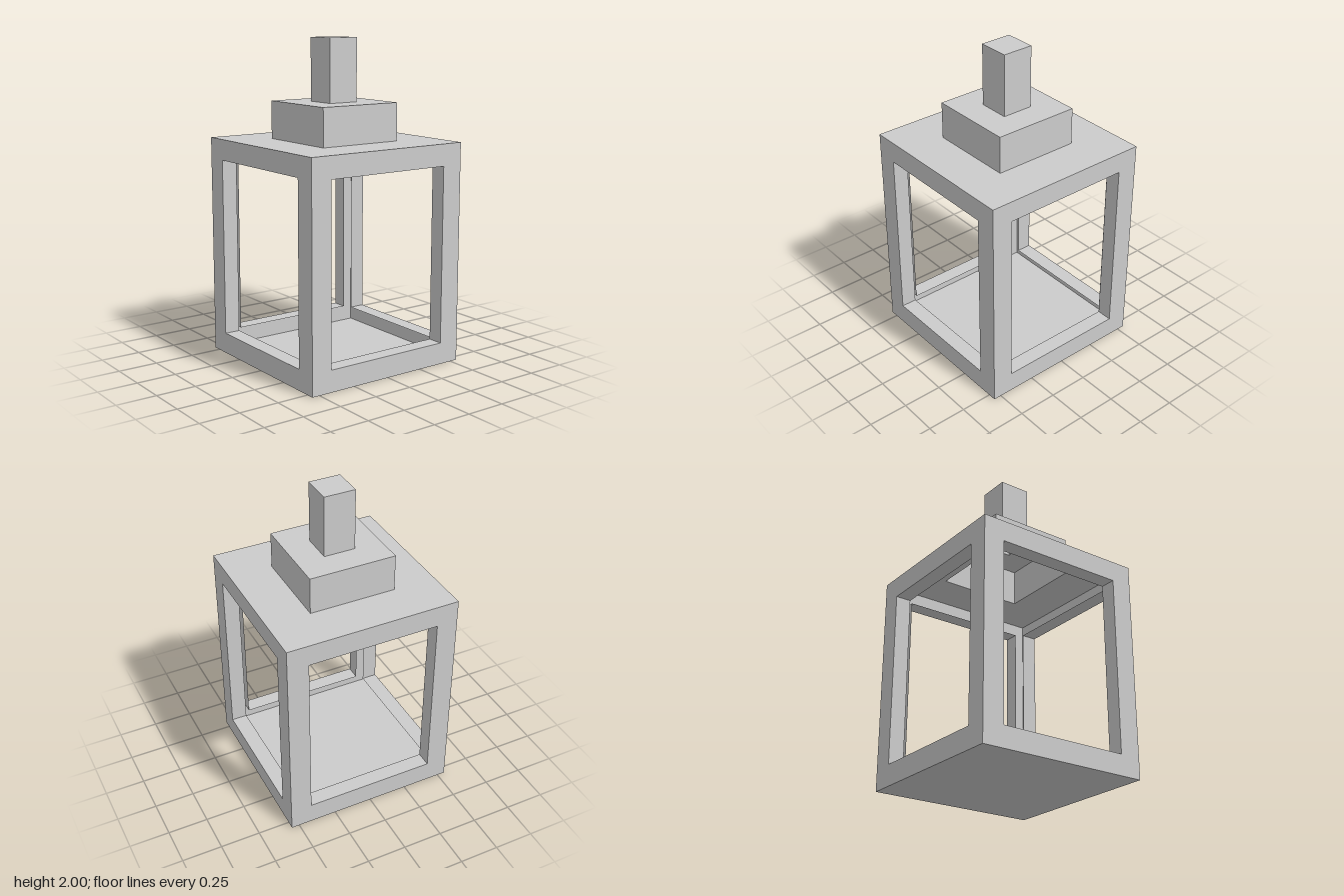
import * as THREE from 'three';

const material = new THREE.MeshStandardMaterial({ color: 0xcccccc, flatShading: true, side: THREE.DoubleSide });

const HALF = 0.55, BODY_TOP = 1.375, REVEAL = 0.1;

function part(geometry, name) {
  const mesh = new THREE.Mesh(geometry, material);
  mesh.name = name;
  return mesh;
}

function rectangle(Type, w, y0, y1) {
  return new Type([[-w, y0], [w, y0], [w, y1], [-w, y1]].map(([x, y]) => new THREE.Vector2(x, y)));
}

// Four-sided open tube centred on the origin, its axis along y
function squareTube(width, height, depth, inward = false) {
  const tube = new THREE.CylinderGeometry(Math.SQRT1_2, Math.SQRT1_2, 1, 4, 1, true);
  tube.rotateY(Math.PI / 4).scale(inward ? -width : width, height, depth);
  const flat = tube.toNonIndexed();
  flat.computeVertexNormals();
  return flat;
}

// Horizontal square plate at height y, with an optional square hole
function plate(half, hole, y, name) {
  const shape = rectangle(THREE.Shape, half, -half, half);
  if (hole) shape.holes.push(rectangle(THREE.Path, hole, -hole, hole));
  return part(new THREE.ShapeGeometry(shape).rotateX(-Math.PI / 2).translate(0, y, 0), name);
}

// Framed side: a thin wall with a window whose edges fold inwards
function framedSide(name, angle, y0, y1) {
  const side = new THREE.Group();
  side.name = name;
  const w = 0.415;
  const wall = rectangle(THREE.Shape, HALF, 0, BODY_TOP);
  wall.holes.push(rectangle(THREE.Path, w, y0, y1));
  side.add(part(new THREE.ShapeGeometry(wall).translate(0, 0, HALF), name + 'Wall'));

  const reveal = squareTube(2 * w, REVEAL, y1 - y0, true)
    .rotateX(Math.PI / 2)
    .translate(0, (y0 + y1) / 2, HALF - REVEAL / 2);
  side.add(part(reveal, name + 'WindowReveal'));
  side.rotation.y = angle;
  return side;
}

export function createModel() {
  const model = new THREE.Group();
  model.name = 'lantern';

  // Body sides
  ['front', 'left', 'back', 'right'].forEach((name, i) => {
    const rim = i % 2 ? 0.135 : 0.13;
    model.add(framedSide(name, i * Math.PI / 2, rim, BODY_TOP - rim));
  });

  // Floor, seen from below
  const floor = plate(HALF, 0, 0, 'floor');
  floor.geometry.rotateX(Math.PI);
  model.add(floor);

  // Roof and the hollow tiers stepping up from it
  model.add(plate(HALF, 0.275, BODY_TOP, 'roof'));
  const tiers = [
    { name: 'cap', half: 0.275, hole: 0.1, bottom: BODY_TOP, top: 1.61 },
    { name: 'handle', half: 0.1, hole: 0, bottom: 1.61, top: 2 },
  ];
  for (const { name, half, hole, bottom, top } of tiers) {
    const walls = squareTube(2 * half, top - bottom, 2 * half).translate(0, (bottom + top) / 2, 0);
    model.add(part(walls, name + 'Walls'), plate(half, hole, top, name + 'Top'));
  }
  return model;
}
